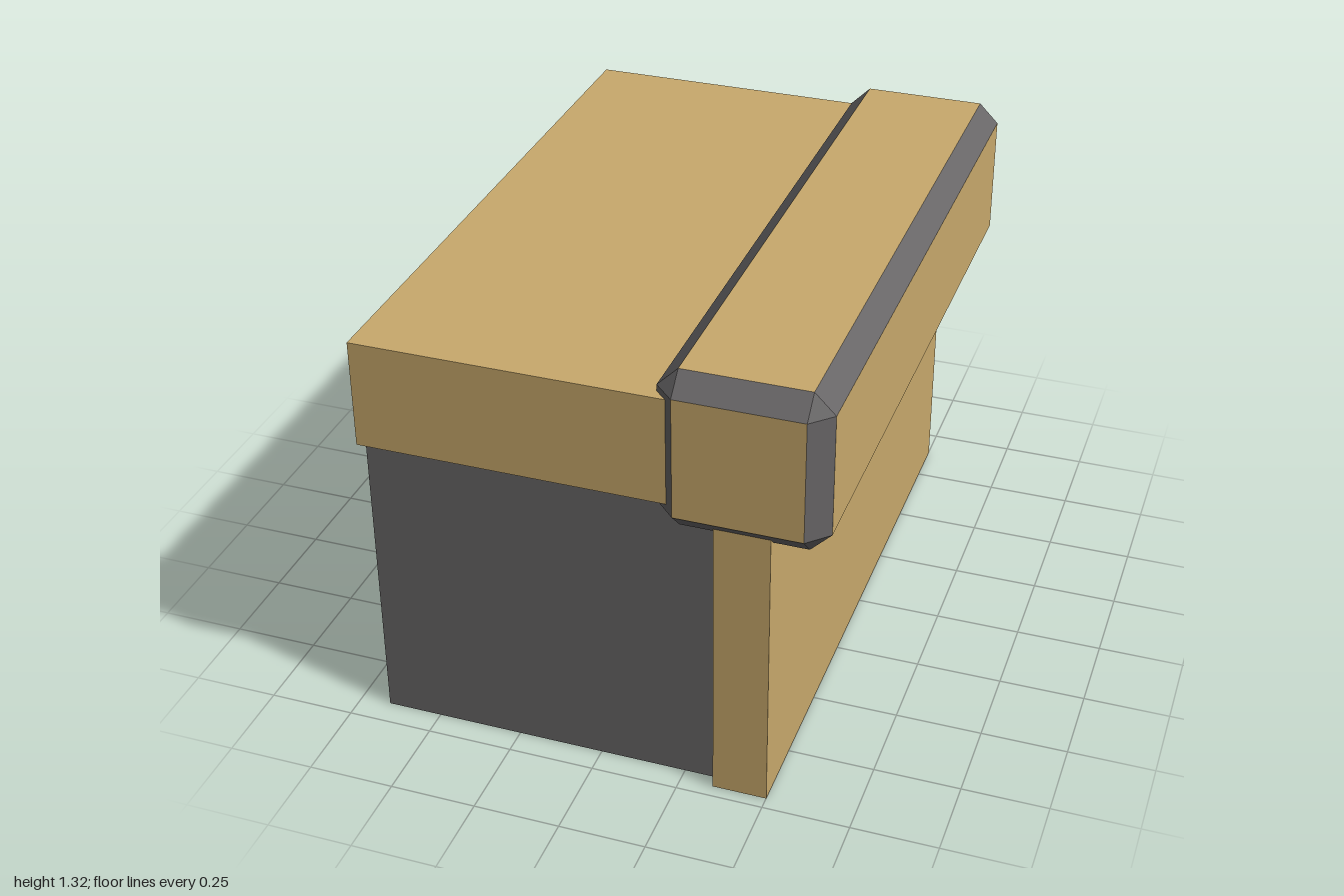
import * as THREE from 'three';

const mat = (name, color) => Object.assign(new THREE.MeshStandardMaterial({ color }), { name });

// Box given by its min and max corners
function block(name, min, max, material) {
  const size = max.map((v, i) => v - min[i]);
  const mesh = new THREE.Mesh(new THREE.BoxGeometry(...size), material);
  mesh.position.set(...max.map((v, i) => (v + min[i]) / 2));
  mesh.name = name;
  return mesh;
}

// Bevelled box: group 0 holds the six flat faces, group 1 the bevels and corners
function bevelledBox(w, h, d, c) {
  const half = [w / 2, h / 2, d / 2];
  const faces = [], bevels = [];
  // Corner with signs s, lying on the face across the given axis
  const corner = (s, axis) =>
    new THREE.Vector3(...half.map((v, i) => s[i] * (i === axis ? v : v - c)));
  // Triangle turned so that it faces away from the centre
  const tri = (out, a, b, e) => {
    const n = b.clone().sub(a).cross(e.clone().sub(a));
    const pts = n.dot(a.clone().add(b).add(e)) > 0 ? [a, b, e] : [a, e, b];
    pts.forEach((p) => out.push(p.x, p.y, p.z));
  };
  const quad = (out, p) => { tri(out, p[0], p[1], p[2]); tri(out, p[0], p[2], p[3]); };
  const sign = (i, si, j, sj, k, sk) => {
    const s = [0, 0, 0];
    s[i] = si; s[j] = sj; s[k] = sk;
    return s;
  };
  for (let i = 0; i < 3; i++) {
    const j = (i + 1) % 3, k = (i + 2) % 3;
    for (const a of [-1, 1]) {
      quad(faces, [[-1, -1], [1, -1], [1, 1], [-1, 1]].map(([p, q]) => corner(sign(i, a, j, p, k, q), i)));
      for (const b of [-1, 1]) {
        // Bevel between faces i and j, running along k
        const s0 = sign(i, a, j, b, k, -1), s1 = sign(i, a, j, b, k, 1);
        quad(bevels, [corner(s0, i), corner(s1, i), corner(s1, j), corner(s0, j)]);
        if (i === 0) for (const s of [s0, s1]) tri(bevels, corner(s, 0), corner(s, 1), corner(s, 2));
      }
    }
  }
  const geo = new THREE.BufferGeometry();
  geo.setAttribute('position', new THREE.Float32BufferAttribute([...faces, ...bevels], 3));
  geo.addGroup(0, faces.length / 3, 0);
  geo.addGroup(faces.length / 3, bevels.length / 3, 1);
  geo.computeVertexNormals();
  return geo;
}

// Cylinder along z between two depths
function rod(name, r, x, y, z0, z1, sides, material) {
  const geo = new THREE.CylinderGeometry(r, r, Math.abs(z1 - z0), sides).toNonIndexed();
  geo.rotateX(-Math.PI / 2);
  geo.computeVertexNormals();
  const mesh = new THREE.Mesh(geo, material);
  mesh.position.set(x, y, (z0 + z1) / 2);
  mesh.name = name;
  return mesh;
}

export function createModel() {
  const model = new THREE.Group();
  model.name = 'edgeBlock';
  const tan = mat('tan', 0xc8a96c);
  const grey = mat('darkGrey', 0x686667);
  const steel = mat('steel', 0xa8a8aa);

  // Core body, top slab and side panel
  model.add(block('body', [-0.661, 0, -0.86], [0.422, 1.087, 0.923], grey));
  model.add(block('topSlab', [-0.66, 0.929, -0.913], [0.42, 1.245, 0.976], tan));
  model.add(block('sidePanel', [0.345, 0.001, -0.89], [0.501, 1.087, 0.963], tan));

  // Bevelled beam along the upper edge
  const beam = new THREE.Mesh(bevelledBox(0.47, 0.472, 1.93, 0.058), [tan, grey]);
  beam.position.set(0.422, 1.086, 0.035);
  beam.name = 'edgeBeam';
  model.add(beam);

  // Hexagonal bolts on the back
  model.add(rod('beamBoltShank', 0.045, 0.422, 1.086, -0.92, -0.95, 6, steel));
  model.add(rod('beamBoltHead', 0.079, 0.422, 1.086, -0.942, -1.0, 6, steel));
  model.add(rod('slabBolt', 0.049, -0.122, 1.087, -0.9, -0.965, 6, steel));
  model.add(rod('panelBolt', 0.041, 0.422, 0.545, -0.88, -0.947, 6, steel));
  return model;
}
